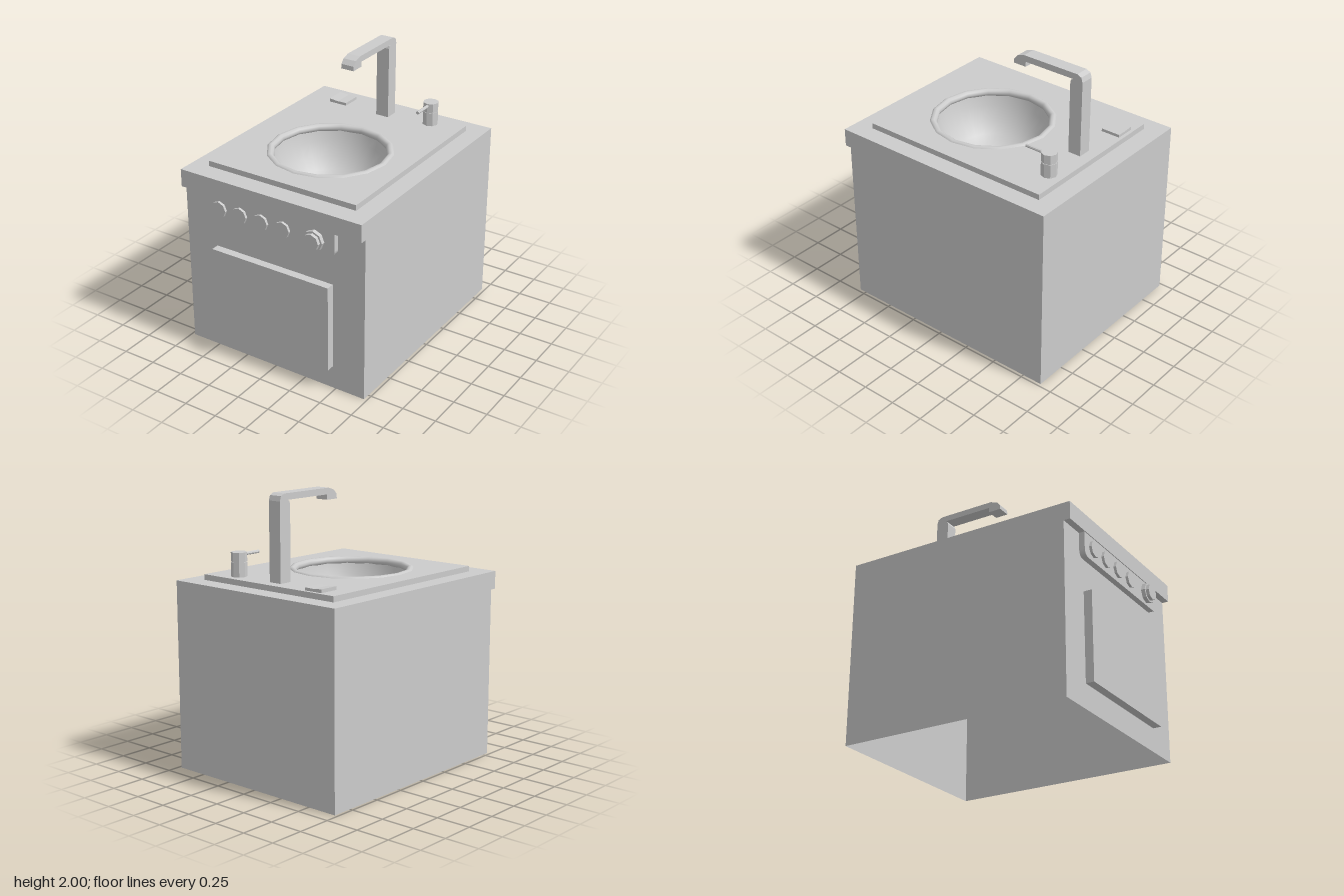
import * as THREE from 'three';

export function createModel() {
  const model = new THREE.Group();
  const grey = new THREE.MeshStandardMaterial({ name: 'grey', color: 0xcccccc, side: THREE.DoubleSide });

  const add = (name, geometry, x = 0, y = 0, z = 0, parent = model) => {
    const mesh = new THREE.Mesh(geometry, grey);
    mesh.name = name;
    mesh.position.set(x, y, z);
    parent.add(mesh);
    return mesh;
  };
  // Box given by its two extreme corners
  const box = (name, x0, x1, y0, y1, z0, z1) =>
    add(name, new THREE.BoxGeometry(x1 - x0, y1 - y0, z1 - z0), (x0 + x1) / 2, (y0 + y1) / 2, (z0 + z1) / 2);
  // Faceted cylinder
  const facets = (r, h, n = 8) => {
    const g = new THREE.CylinderGeometry(r, r, h, n).toNonIndexed();
    g.computeVertexNormals();
    return g;
  };
  const polygon = (points) => new THREE.Shape(points.map(([x, y]) => new THREE.Vector2(x, y)));
  const extrude = (shape, depth) =>
    new THREE.ExtrudeGeometry(shape, { depth, bevelEnabled: false, curveSegments: 8 });

  const W = 0.727, BACK = -0.9, FRONT = 0.805, OVERHANG = 0.853;
  const SINK_Z = 0.11, SINK_R = 0.42;

  // Cabinet walls, open underneath
  const H = 1.23, D = FRONT - BACK, midZ = (FRONT + BACK) / 2;
  add('frontWall', new THREE.PlaneGeometry(2 * W, H), 0, H / 2, FRONT);
  add('backWall', new THREE.PlaneGeometry(2 * W, H), 0, H / 2, BACK).rotation.y = Math.PI;
  for (const s of [-1, 1]) {
    add(s > 0 ? 'leftWall' : 'rightWall', new THREE.PlaneGeometry(D, H), s * W, H / 2, midZ).rotation.y = s * Math.PI / 2;
  }

  // Horizontal slabs with the round sink opening
  const slab = (name, hx, z0, z1, y0, y1) => {
    const shape = polygon([[-hx, -z1], [hx, -z1], [hx, -z0], [-hx, -z0]]);
    shape.holes.push(new THREE.Path().absarc(0, -SINK_Z, SINK_R, 0, Math.PI * 2, true));
    add(name, extrude(shape, y1 - y0).rotateX(-Math.PI / 2), 0, y0, 0);
  };
  slab('worktop', W, BACK, OVERHANG, H, 1.36);
  slab('sinkPlate', 0.595, -0.76, 0.71, 1.36, 1.4);

  // Sink: rolled rim, bowl and flat bottom
  add('sinkRim', new THREE.TorusGeometry(0.424, 0.029, 10, 16).rotateX(Math.PI / 2), 0, 1.382, SINK_Z);
  const bowl = [[0.118, 1.03], [0.2, 1.05], [0.28, 1.11], [0.34, 1.19], [0.385, 1.29], [0.405, 1.38]];
  add('sinkBowl', new THREE.LatheGeometry(bowl.map(([r, y]) => new THREE.Vector2(r, y)), 32), 0, 0, SINK_Z);
  add('sinkBottom', new THREE.CircleGeometry(0.118, 32).rotateX(-Math.PI / 2), 0, 1.03, SINK_Z);

  // Tap, drawn in side profile (forward, up) and extruded across
  const tap = polygon([
    [-0.678, 1.4], [-0.58, 1.4], [-0.58, 1.93], [-0.588, 1.948], [-0.605, 1.955],
    [-0.21, 1.955], [-0.21, 1.918], [-0.11, 1.918], [-0.112, 1.95], [-0.14, 1.982], [-0.195, 2],
    [-0.635, 2], [-0.667, 1.985], [-0.678, 1.95],
  ]);
  // The arm underside is kept clear of the column's inner corner
  add('tap', extrude(tap, 0.1).rotateY(-Math.PI / 2), 0.045, 0, 0);

  // Tap lever
  const lever = new THREE.Group();
  lever.name = 'tapLever';
  lever.position.set(0.356, 1.4, -0.657);
  model.add(lever);
  add('leverBase', facets(0.056, 0.1), 0, 0.05, 0, lever);
  add('leverNeck', facets(0.052, 0.01), 0, 0.103, 0, lever);
  add('leverCap', facets(0.056, 0.064), 0, 0.138, 0, lever);
  add('leverRod', facets(0.012, 0.15).rotateX(Math.PI / 2), 0, 0.15, 0.115, lever);

  // Rocker switch with a shallow crease
  const rocker = polygon([[-0.47, 1.4], [-0.325, 1.4], [-0.325, 1.421], [-0.397, 1.419], [-0.47, 1.425]]);
  add('rockerSwitch', extrude(rocker, 0.145), 0, 0, -0.735);

  // Control panel with rounded lower corners
  const panel = new THREE.Shape();
  panel.moveTo(-0.525, 1.23);
  panel.lineTo(-0.525, 1.1);
  panel.quadraticCurveTo(-0.52, 1.055, -0.475, 1.055);
  panel.lineTo(0.47, 1.055);
  panel.quadraticCurveTo(0.515, 1.055, 0.52, 1.1);
  panel.lineTo(0.52, 1.23);
  add('controlPanel', extrude(panel, 0.042), 0, 0, FRONT);

  // Knobs
  const knob = (name, x, r, z0, z1) =>
    add(name, facets(r, z1 - z0).rotateX(Math.PI / 2), x, 1.145, (z0 + z1) / 2);
  for (const x of [-0.407, -0.236, -0.063, 0.114]) knob('smallKnob', x, 0.059, 0.84, 0.866);
  knob('largeKnobBase', 0.367, 0.074, 0.84, 0.876);
  knob('largeKnob', 0.367, 0.06, 0.87, 0.9);

  // Oven door
  box('ovenDoor', -0.477, 0.477, 0.175, 0.82, 0.798, 0.865);

  return model;
}
